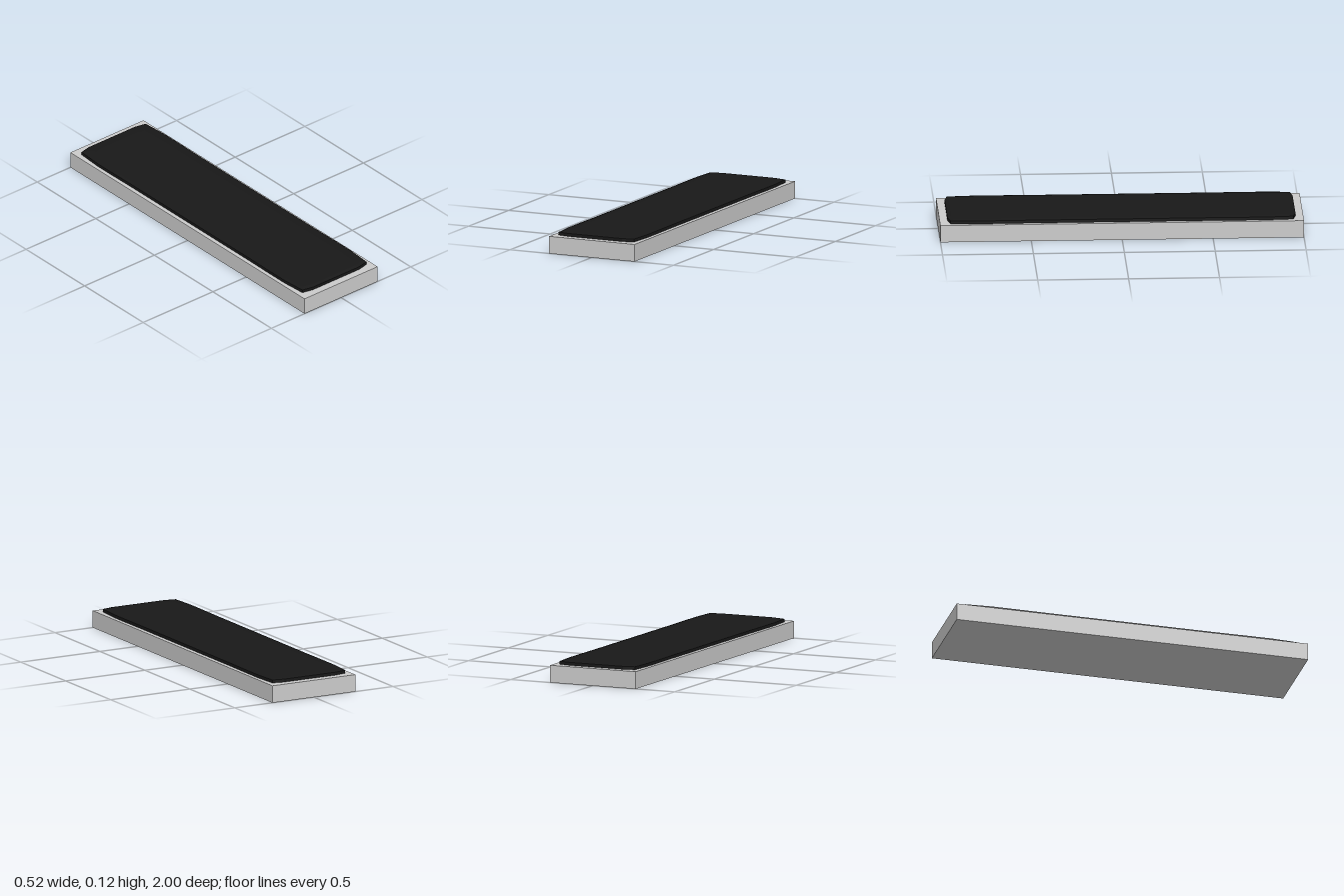
import * as THREE from 'three';

const BASE = { w: 0.524, h: 0.096, d: 2 };

// Low cushion built from stacked, progressively inset copies of one outline
function padGeometry() {
  const quarter = [[0.238, 0.5], [0.24, 0.67], [0.24, 0.8], [0.23, 0.943], [0.165, 0.957]];
  const reversed = [...quarter].reverse();
  const outline = [
    ...quarter,
    ...reversed.map(([x, z]) => [-x, z]),
    ...quarter.map(([x, z]) => [-x, -z]),
    ...reversed.map(([x, z]) => [x, -z]),
  ];
  const rings = [[BASE.h, 0], [0.113, 0], [0.118, 0.02], [0.12, 0.06]]; // height, inset
  const n = outline.length;
  const positions = [];
  const index = [];
  for (const [y, inset] of rings) {
    for (const [x, z] of outline) {
      positions.push(x * (1 - inset / 0.24), y, z * (1 - inset / 0.957));
    }
  }
  for (let r = 0; r < rings.length - 1; r++) {
    for (let i = 0; i < n; i++) {
      const a = r * n + i;
      const b = r * n + (i + 1) % n;
      index.push(a, a + n, b, b, a + n, b + n);
    }
  }
  // Flat top
  const top = (rings.length - 1) * n;
  const centre = positions.length / 3;
  positions.push(0, 0.12, 0);
  for (let i = 0; i < n; i++) index.push(centre, top + (i + 1) % n, top + i);

  const geometry = new THREE.BufferGeometry();
  geometry.setAttribute('position', new THREE.Float32BufferAttribute(positions, 3));
  geometry.setIndex(index);
  const flat = geometry.toNonIndexed();
  flat.computeVertexNormals();
  return flat;
}

export function createModel() {
  const group = new THREE.Group();
  group.name = 'paddedSlab';

  // Rectangular slab
  const base = new THREE.Mesh(
    new THREE.BoxGeometry(BASE.w, BASE.h, BASE.d),
    new THREE.MeshStandardMaterial({ color: 0xcccccc })
  );
  base.name = 'base';
  base.position.y = BASE.h / 2;
  group.add(base);

  // Black pad resting on the slab
  const pad = new THREE.Mesh(
    padGeometry(),
    new THREE.MeshStandardMaterial({ color: 0x181818, flatShading: true })
  );
  pad.name = 'pad';
  group.add(pad);

  return group;
}
